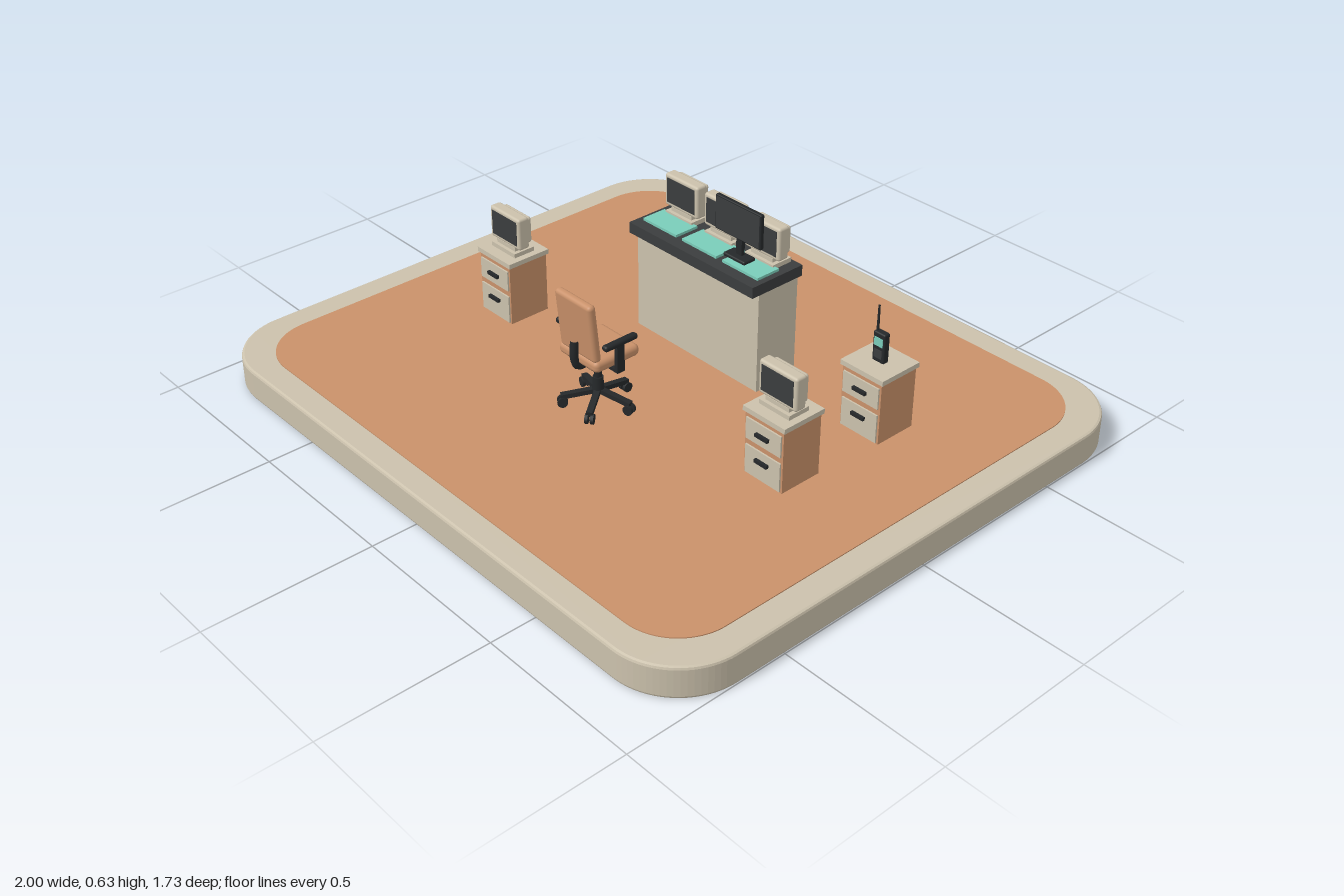
import * as THREE from 'three';
import { RoundedBoxGeometry } from 'three/addons/geometries/RoundedBoxGeometry.js';

const mat = (name, color) => {
  const m = new THREE.MeshStandardMaterial({ color });
  m.name = name;
  return m;
};
const beige = mat('beige', 0xcbc1ac);
const orange = mat('orange', 0xc9916a);
const charcoal = mat('charcoal', 0x3b3d3e);
const black = mat('black', 0x25282a);
const teal = mat('teal', 0x7accb9);

function add(parent, name, geometry, material, x = 0, y = 0, z = 0) {
  const mesh = new THREE.Mesh(geometry, material);
  mesh.name = name;
  mesh.position.set(x, y, z);
  parent.add(mesh);
  return mesh;
}
const box = (w, h, d) => new THREE.BoxGeometry(w, h, d);
const soft = (w, h, d, r) => new RoundedBoxGeometry(w, h, d, 3, r);
function group(parent, name, x = 0, y = 0, z = 0) {
  const g = new THREE.Group();
  g.name = name;
  g.position.set(x, y, z);
  parent.add(g);
  return g;
}

// Horizontal slab with rounded corners, standing on y = 0
function slab(w, d, h, r, bevel) {
  const a = w / 2 - bevel, b = d / 2 - bevel, s = new THREE.Shape();
  s.moveTo(-a + r, -b);
  s.lineTo(a - r, -b);
  s.absarc(a - r, -b + r, r, -Math.PI / 2, 0);
  s.lineTo(a, b - r);
  s.absarc(a - r, b - r, r, 0, Math.PI / 2);
  s.lineTo(-a + r, b);
  s.absarc(-a + r, b - r, r, Math.PI / 2, Math.PI);
  s.lineTo(-a, -b + r);
  s.absarc(-a + r, -b + r, r, Math.PI, Math.PI * 1.5);
  const g = new THREE.ExtrudeGeometry(s, {
    depth: h - 2 * bevel, bevelEnabled: bevel > 0, bevelSize: bevel,
    bevelThickness: bevel, bevelSegments: 2, curveSegments: 10,
  });
  return g.rotateX(-Math.PI / 2).translate(0, bevel, 0);
}

// Boxy display on a stepped foot
function crt(parent, x, y, z) {
  const g = group(parent, 'boxMonitor', x, y, z);
  add(g, 'monitorFoot', box(0.11, 0.014, 0.072), beige, 0, 0.007, 0);
  add(g, 'monitorNeck', box(0.085, 0.014, 0.05), beige, 0, 0.019, 0);
  add(g, 'monitorCase', soft(0.138, 0.102, 0.038, 0.008), beige, 0, 0.076, 0.008);
  add(g, 'monitorBack', soft(0.118, 0.084, 0.03, 0.008), beige, 0, 0.076, -0.014);
  add(g, 'monitorScreen', box(0.115, 0.078, 0.004), charcoal, 0, 0.077, 0.0265);
}

// Two-drawer cabinet, 0.305 high
function cabinet(parent, x, z) {
  const g = group(parent, 'drawerCabinet', x, 0, z);
  add(g, 'cabinetBody', box(0.14, 0.192, 0.136), orange, 0, 0.195, 0);
  add(g, 'cabinetTop', box(0.153, 0.015, 0.146), beige, 0, 0.298, 0);
  for (const [y, h, grip] of [[0.243, 0.065, 0.243], [0.147, 0.088, 0.162]]) {
    add(g, 'drawerFront', box(0.128, h, 0.006), beige, 0, y, 0.07);
    add(g, 'drawerHandle', box(0.046, 0.01, 0.01), black, 0, grip, 0.077);
  }
}

function desk(parent) {
  const g = group(parent, 'desk', 0, 0, -0.2);
  add(g, 'deskBody', box(0.5, 0.32, 0.15), beige, 0, 0.258, -0.008);
  add(g, 'deskTop', box(0.508, 0.034, 0.192), charcoal, 0, 0.433, 0);
  for (const x of [-0.165, 0, 0.165]) {
    add(g, 'consolePad', box(0.14, 0.008, 0.082), teal, x, 0.454, 0.018);
    crt(g, x, 0.45, -0.05);
  }
  // Flat display on a post
  const d = group(g, 'flatDisplay', 0.118, 0.45, 0.016);
  add(d, 'displayBase', soft(0.085, 0.012, 0.045, 0.005), black, 0, 0.012, 0);
  add(d, 'displayPost', box(0.022, 0.085, 0.012), black, 0, 0.055, -0.004);
  add(d, 'displayCase', soft(0.18, 0.108, 0.014, 0.004), black, 0, 0.123, 0.002);
  add(d, 'displayScreen', box(0.17, 0.098, 0.003), charcoal, 0, 0.123, 0.009);
}

// Hand radio standing upright
function radio(parent) {
  const g = group(parent, 'handRadio', 0.583, 0.305, -0.265);
  add(g, 'radioBody', soft(0.042, 0.092, 0.022, 0.005), black, 0, 0.046, 0);
  add(g, 'radioScreen', box(0.03, 0.026, 0.003), teal, 0, 0.064, 0.011);
  add(g, 'radioKeys', box(0.028, 0.026, 0.003), charcoal, 0, 0.027, 0.011);
  add(g, 'radioAntenna', new THREE.CylinderGeometry(0.003, 0.004, 0.08, 8), black, -0.015, 0.128, 0);
}

// Swivel chair facing the desk
function chair(parent) {
  const g = group(parent, 'swivelChair', 0, 0, 0.235);
  add(g, 'seat', soft(0.165, 0.036, 0.158, 0.015), orange, 0, 0.28, -0.006);
  add(g, 'seatPan', box(0.12, 0.012, 0.11), black, 0, 0.258, 0);
  const back = add(g, 'backrest', soft(0.15, 0.185, 0.026, 0.012), orange, 0, 0.383, 0.066);
  back.rotation.x = 0.1;
  const spine = new THREE.CatmullRomCurve3([
    new THREE.Vector3(0, 0.255, 0.02), new THREE.Vector3(0, 0.256, 0.07),
    new THREE.Vector3(0, 0.285, 0.082), new THREE.Vector3(0, 0.34, 0.08),
  ]);
  add(g, 'backSpine', new THREE.TubeGeometry(spine, 16, 0.012, 8), black);

  for (const s of [-1, 1]) {
    add(g, 'armPad', soft(0.022, 0.018, 0.115, 0.008), black, s * 0.098, 0.348, 0.002);
    add(g, 'armPost', box(0.012, 0.085, 0.026), black, s * 0.098, 0.303, 0.004);
    add(g, 'armBracket', box(0.06, 0.01, 0.026), black, s * 0.074, 0.26, 0.004);
  }

  add(g, 'gasColumn', new THREE.CylinderGeometry(0.011, 0.011, 0.11, 12), black, 0, 0.205, 0);
  add(g, 'columnSleeve', new THREE.CylinderGeometry(0.015, 0.018, 0.05, 12), black, 0, 0.167, 0);
  for (let i = 0; i < 5; i++) {
    const leg = group(g, 'chairLeg');
    leg.rotation.y = Math.PI + i * Math.PI * 0.4;
    add(leg, 'legBar', box(0.018, 0.014, 0.1), black, 0, 0.14, 0.055).rotation.x = 0.16;
    for (const s of [-1, 1]) {
      const wheel = new THREE.CylinderGeometry(0.015, 0.015, 0.009, 12).rotateZ(Math.PI / 2);
      add(leg, 'casterWheel', wheel, black, s * 0.008, 0.115, 0.1);
    }
  }
}

export function createModel() {
  const model = new THREE.Group();
  model.name = 'controlRoom';

  // Platform and floor
  add(model, 'platform', slab(2, 1.73, 0.096, 0.2, 0.008), beige);
  add(model, 'floor', slab(1.83, 1.57, 0.006, 0.17, 0), orange, 0, 0.093, 0);

  desk(model);
  for (const x of [-0.567, 0.567]) {
    cabinet(model, x, 0.084);
    crt(model, x, 0.305, 0.084);
  }
  cabinet(model, 0.583, -0.265);
  radio(model);
  chair(model);
  return model;
}
